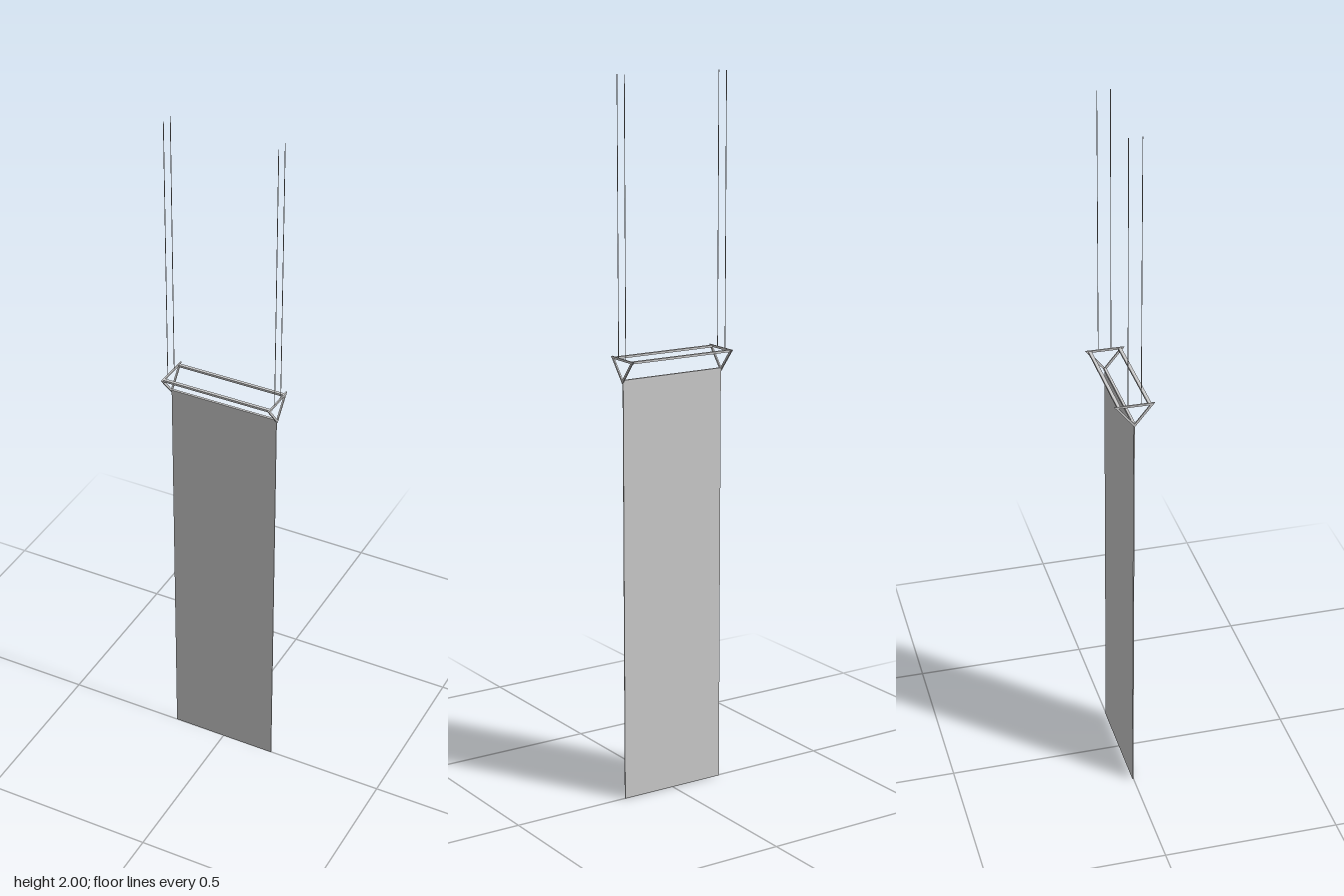
import * as THREE from 'three';

export function createModel() {
  const model = new THREE.Group();
  const material = new THREE.MeshStandardMaterial({ color: 0xcccccc, side: THREE.DoubleSide, flatShading: true });
  const add = (name, geometry, x, y, z) => {
    const mesh = new THREE.Mesh(geometry, material);
    mesh.name = name;
    mesh.position.set(x, y, z);
    model.add(mesh);
    return mesh;
  };

  // Hanging cloth panel
  add('banner', new THREE.BoxGeometry(0.316, 1.188, 0.003), 0, 0.594, 0);

  // Open triangular end frame, drawn in the side plane
  const triangle = new THREE.Shape([
    new THREE.Vector2(-0.055, 1.25), new THREE.Vector2(0, 1.183), new THREE.Vector2(0.055, 1.25),
  ]);
  triangle.holes.push(new THREE.Path([
    new THREE.Vector2(-0.042, 1.244), new THREE.Vector2(0.042, 1.244), new THREE.Vector2(0, 1.1925),
  ]));
  const endGeometry = new THREE.ExtrudeGeometry(triangle, { depth: 0.004, bevelEnabled: false });
  endGeometry.translate(0, 0, -0.002).rotateY(Math.PI / 2);

  const cordGeometry = new THREE.CylinderGeometry(0.001, 0.001, 0.752, 6);
  for (const side of [-1, 1]) {
    add('endFrame', endGeometry, side * 0.159, 0, 0);
    // Two suspension cords per end
    for (const depth of [-1, 1]) add('cord', cordGeometry, side * 0.16, 1.624, depth * 0.018);
  }

  // Long rails joining the end frames
  const railGeometry = new THREE.BoxGeometry(0.316, 0.006, 0.009);
  for (const depth of [-1, 1]) add('topRail', railGeometry, 0, 1.246, depth * 0.042);
  add('bottomRail', new THREE.BoxGeometry(0.316, 0.007, 0.007), 0, 1.189, 0);

  // Slight twist of the whole assembly
  model.rotation.y = -0.005;
  model.position.z = -0.001;
  return model;
}
